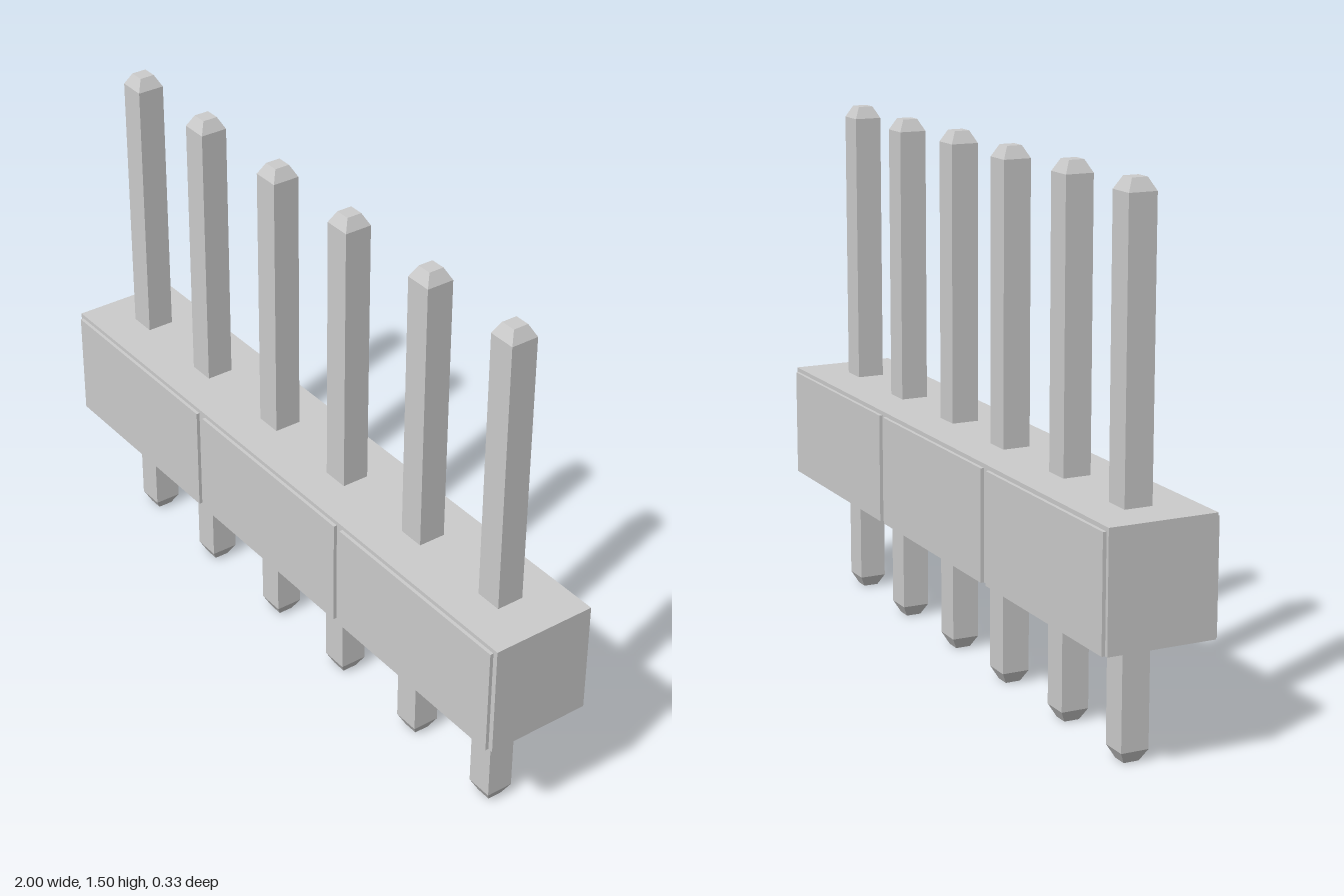
import * as THREE from 'three';

export function createModel() {
  const model = new THREE.Group();
  model.name = 'pinHeader';
  const material = new THREE.MeshStandardMaterial({ color: 0xcccccc, flatShading: true });

  function add(name, geometry, x, y, z, parent = model) {
    const mesh = new THREE.Mesh(geometry, material);
    mesh.name = name;
    mesh.position.set(x, y, z);
    parent.add(mesh);
    return mesh;
  }

  // Housing bar
  const bottom = 0.348, top = 0.678;
  add('housing', new THREE.BoxGeometry(2, top - bottom, 0.31), 0, (bottom + top) / 2, 0);

  // Three thin raised panels on the front and the back, flush with the underside
  const panelHeight = 0.318, panelDepth = 0.02;
  const panel = new THREE.BoxGeometry(0.64, panelHeight, panelDepth);
  for (const side of [1, -1]) {
    for (const x of [-0.669, 0, 0.665]) {
      add(side > 0 ? 'frontPanel' : 'backPanel', panel, x, bottom + panelHeight / 2, side * 0.155);
    }
  }

  // Square pins with chamfered ends: a four-sided lathe turned by 45 degrees
  function pinGeometry(height) {
    const half = 0.04 * Math.SQRT2, tip = 0.022 * Math.SQRT2, chamfer = 0.034;
    const profile = [
      [0, 0], [tip, 0], [half, chamfer],
      [half, height - chamfer], [tip, height], [0, height],
    ].map(([r, y]) => new THREE.Vector2(r, y));
    return new THREE.LatheGeometry(profile, 4).rotateY(Math.PI / 4);
  }

  // Neighbouring pins are very slightly staggered
  [-0.837, -0.509, -0.17, 0.158, 0.494, 0.825].forEach((x, i) => {
    const odd = i % 2;
    add('pin', pinGeometry(odd ? 1.505 : 1.502), x, 0, odd ? 0.002 : -0.002);
  });

  return model;
}
